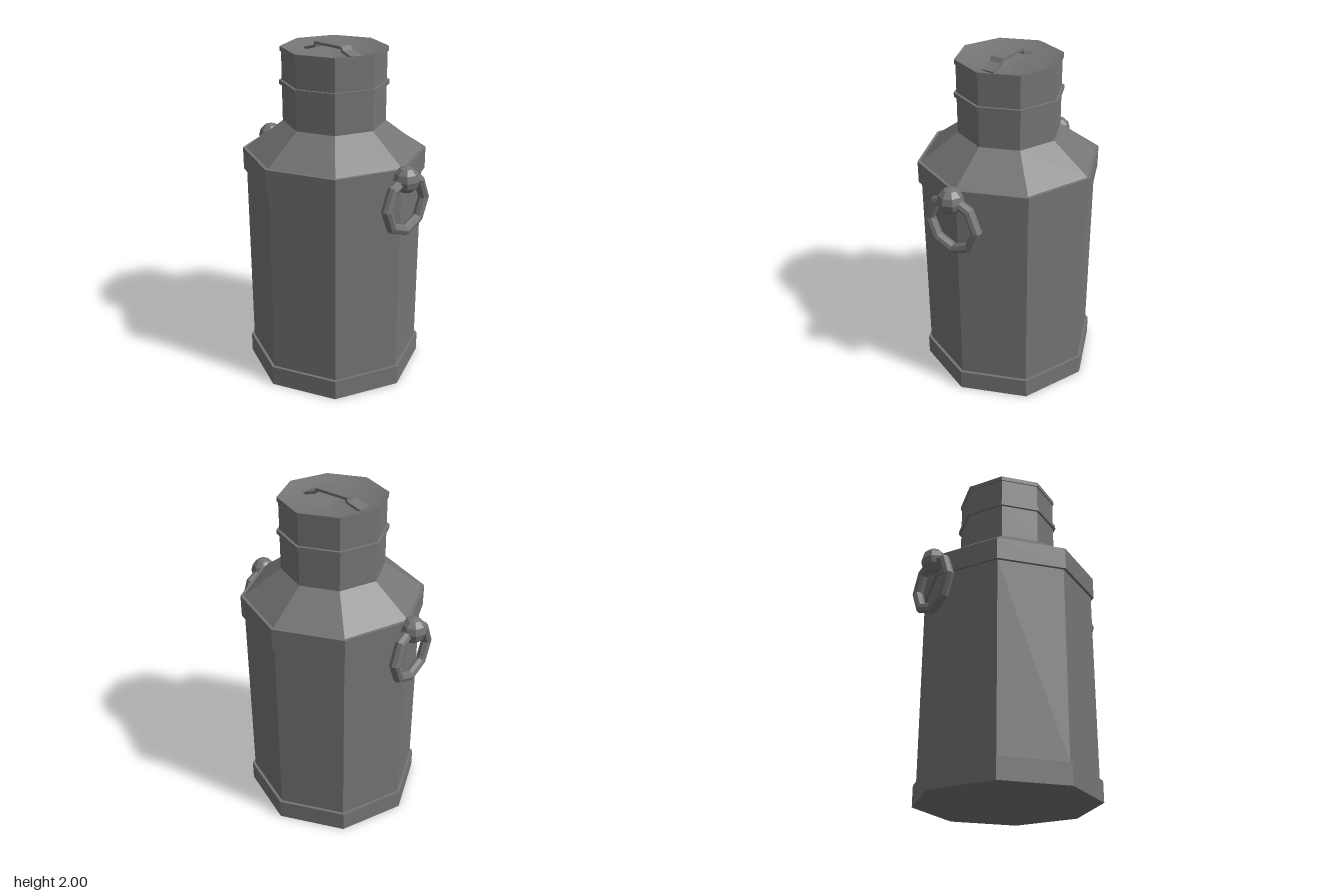
import * as THREE from 'three';

const flat = new THREE.MeshStandardMaterial({ color: 0x747474, flatShading: true });
const smooth = new THREE.MeshStandardMaterial({ color: 0x747474 });

function add(parent, name, geometry, material = flat) {
  const mesh = new THREE.Mesh(geometry, material);
  mesh.name = name;
  parent.add(mesh);
  return mesh;
}

// Eight-sided turned part from [radius, height] pairs, listed bottom to top
const turned = (points) =>
  new THREE.LatheGeometry(points.map(([r, y]) => new THREE.Vector2(r, y)), 8);

export function createModel() {
  const can = new THREE.Group();
  can.name = 'milkCan';

  // Body with base band, shoulder band and sloping shoulder
  add(can, 'body', turned([
    [0, 0], [0.532, 0], [0.532, 0.123], [0.514, 0.123],
    [0.514, 1.26], [0.532, 1.26], [0.532, 1.392], [0.514, 1.392], [0.296, 1.555],
  ]));

  // Neck with its raised hoop
  add(can, 'neck', turned([
    [0.296, 1.555], [0.296, 1.768], [0.311, 1.768], [0.311, 1.793], [0.296, 1.793], [0.296, 1.955],
  ]));

  // Lid: thin rim around a shallow dish
  add(can, 'lidRim', turned([[0.296, 1.955], [0.303, 1.955], [0.303, 1.982]]));
  add(can, 'lidDish', turned([[0.303, 1.982], [0.2, 1.946], [0, 1.922]]), smooth);

  // Lid handle: bent strip extruded across its width
  const strip = new THREE.Shape([
    [-0.2, 1.953], [-0.113, 1.978], [-0.11, 2], [0.1, 2], [0.115, 1.978], [0.19, 1.953],
    [0.19, 1.938], [0.105, 1.966], [0.093, 1.985], [-0.098, 1.985], [-0.103, 1.966], [-0.2, 1.938],
  ].map(([z, y]) => new THREE.Vector2(z, y)));
  const handle = new THREE.ExtrudeGeometry(strip, { depth: 0.074, bevelEnabled: false });
  handle.translate(0, 0, -0.037).rotateY(-Math.PI / 2);
  add(can, 'lidHandle', handle).position.x = -0.013;

  // Carrying rings hanging from knobs, front and back
  for (const [name, side] of [['front', 1], ['back', -1]]) {
    const ring = new THREE.Group();
    ring.name = name + 'CarryingRing';
    add(ring, name + 'Knob', new THREE.SphereGeometry(0.076, 8, 6))
      .position.set(-0.006, 1.341, side * 0.55);
    add(ring, name + 'Ring', new THREE.TorusGeometry(0.157, 0.031, 8, 8))
      .position.set(0, 1.194, side * 0.547);
    can.add(ring);
  }
  return can;
}
